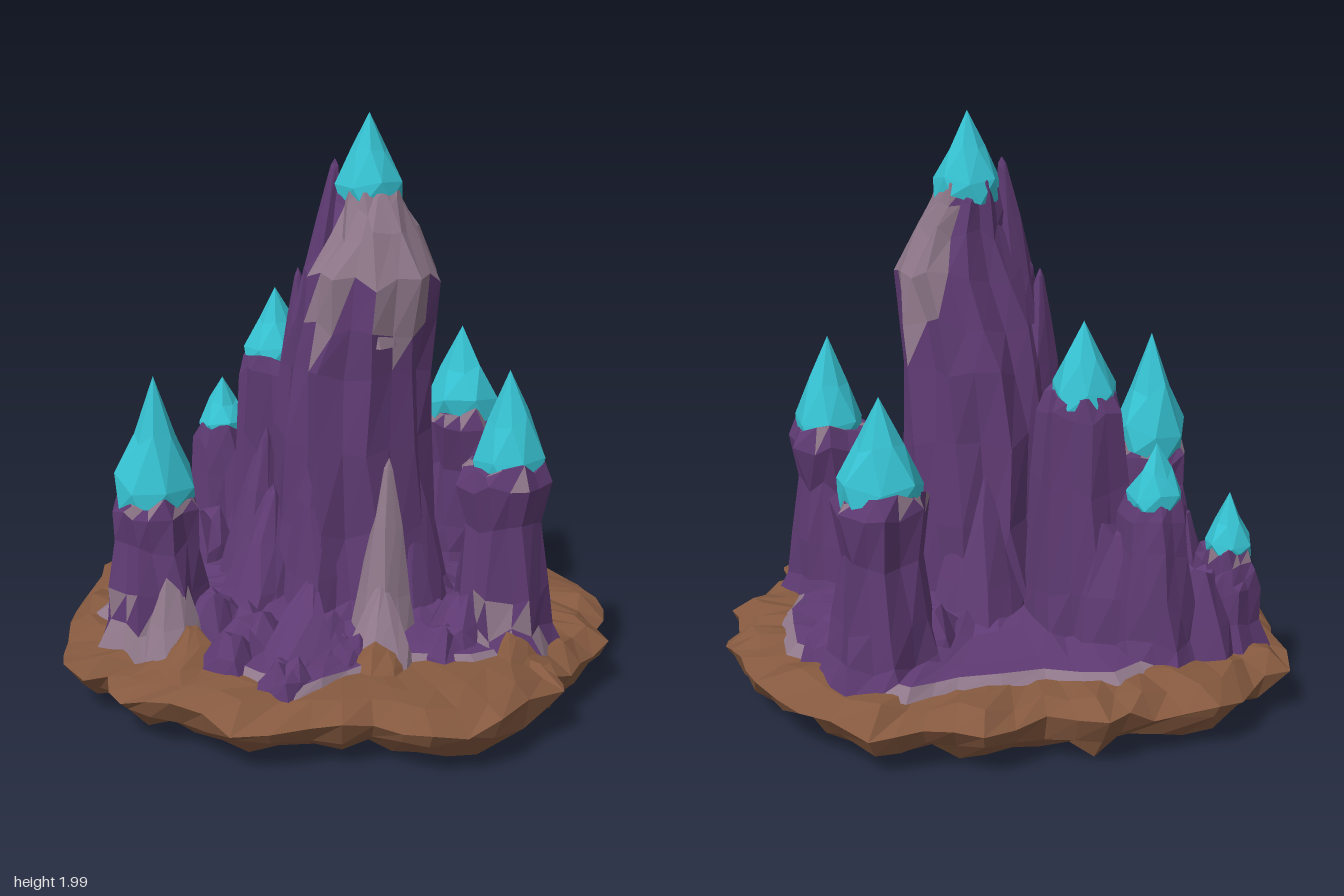
import * as THREE from 'three';

const mat = (name, color) => {
  const m = new THREE.MeshStandardMaterial({ color });
  m.name = name;
  return m;
};

export function createModel() {
  const group = new THREE.Group();
  const purple = mat('purple rock', 0x5e3a72);
  const mauve = mat('mauve rock', 0x8e7789);
  const brown = mat('brown earth', 0x85593f);
  const cyan = mat('cyan crystal', 0x36c2d2);

  // seeded noise
  let seed = 7;
  const rnd = () => ((seed = (seed * 16807) % 2147483647) / 2147483647);
  const jit = (a) => (rnd() * 2 - 1) * a;

  // Faceted skin through rings of equal count (bottom to top); pick() chooses a material per face
  function loft(name, rings, materials, pick = () => 0) {
    const buckets = materials.map(() => []);
    const ab = new THREE.Vector3(), ac = new THREE.Vector3(), mid = new THREE.Vector3();
    const tri = (a, b, c, ring) => {
      ab.subVectors(b, a).cross(ac.subVectors(c, a));
      if (ab.length() < 1e-7) return;
      mid.copy(a).add(b).add(c).divideScalar(3);
      const bucket = buckets[pick(mid, ring)];
      for (const p of [a, b, c]) bucket.push(p.x, p.y, p.z);
    };
    for (let i = 0; i + 1 < rings.length; i++) {
      const lo = rings[i], hi = rings[i + 1], n = lo.length;
      for (let j = 0; j < n; j++) {
        const k = (j + 1) % n;
        tri(lo[j], hi[j], lo[k], i);
        tri(hi[j], hi[k], lo[k], i);
      }
    }
    const geo = new THREE.BufferGeometry();
    let start = 0;
    buckets.forEach((b, i) => {
      geo.addGroup(start, b.length / 3, i);
      start += b.length / 3;
    });
    geo.setAttribute('position', new THREE.Float32BufferAttribute(buckets.flat(), 3));
    geo.computeVertexNormals();
    const mesh = new THREE.Mesh(geo, materials);
    mesh.name = name;
    group.add(mesh);
  }

  // Scaled copy of an outline at a height, roughened
  const outlineRing = (pts, s, y, jy = 0, jr = 0) => pts.map(([x, z]) => {
    const k = s + jit(jr);
    return new THREE.Vector3(x * k, Math.max(0, y + jit(jy)), z * k);
  });

  // Outline with a roughened midpoint on every edge
  const refine = (pts, amount) => pts.flatMap(([x, z], i) => {
    const [u, v] = pts[(i + 1) % pts.length], k = 0.5 * (1 + jit(amount));
    return [[x, z], [(x + u) * k, (z + v) * k]];
  });

  // Fluted rock: levels are [y, x, z, radiusX, radiusZ]
  function rock(name, levels, { sides = 16, flute = 0.16, rough = 0.05, ragged = 0.03, pick } = {}) {
    const ridge = Array.from({ length: sides }, (_, j) => 1 + (j % 2 ? -1 : 1) * flute * (0.3 + 0.7 * rnd()));
    const rings = levels.map(([y, x, z, rx, rz = rx], i) => ridge.map((r, j) => {
      const a = ((j + jit(0.2) + i * 0.15) / sides) * Math.PI * 2, k = r * (1 + jit(rough));
      const dy = i === 0 ? 0 : jit(ragged);
      return new THREE.Vector3(x + Math.cos(a) * rx * k, y + dy, z + Math.sin(a) * rz * k);
    }));
    const [y, x, z] = levels[levels.length - 1];
    rings.push(ridge.map(() => new THREE.Vector3(x, y, z)));
    loft(name, rings, [purple, mauve, brown], pick);
  }

  // Pointed crystal with a broad collar
  function crystal(x, z, base, tip, r) {
    const sides = 7, h = tip - base;
    const rings = [[0, 0.95], [0.22, 0.97], [0.56, 0.54], [1, 0]].map(([t, k], i) =>
      Array.from({ length: sides }, (_, j) => {
        const a = ((j + i * 0.35) / sides) * Math.PI * 2, q = r * k * (1 + jit(0.08));
        const dy = i < 3 ? jit(0.07) * h : 0;
        return new THREE.Vector3(x + Math.cos(a) * q, base + t * h + dy, z + Math.sin(a) * q);
      }));
    rings.unshift(rings[0].map(() => new THREE.Vector3(x, base, z)));
    loft('crystal', rings, [cyan]);
  }

  // Earth slab with a jagged rim and lumpy underside
  const rim = refine([[-0.9, -0.63], [-0.75, -0.7], [-0.58, -0.86], [-0.36, -0.87], [-0.2, -0.93], [-0.02, -0.83],
    [0.2, -0.93], [0.38, -0.85], [0.55, -0.85], [0.75, -0.63], [0.88, -0.4], [0.92, -0.24], [0.97, -0.1], [0.92, 0.05],
    [0.94, 0.2], [0.82, 0.35], [0.72, 0.5], [0.73, 0.6], [0.5, 0.85], [0.28, 0.92], [0.1, 0.82], [-0.1, 0.85],
    [-0.35, 0.88], [-0.55, 0.72], [-0.72, 0.65], [-0.78, 0.5], [-0.94, 0.42], [-0.96, 0.2], [-0.98, -0.1],
    [-0.92, -0.38]], 0.025);
  loft('earthBase', [
    outlineRing(rim, 0, 0.05), outlineRing(rim, 0.2, 0.05, 0.02, 0.02), outlineRing(rim, 0.4, 0.05, 0.035, 0.04),
    outlineRing(rim, 0.58, 0.05, 0.04, 0.04), outlineRing(rim, 0.74, 0.045, 0.035, 0.03),
    outlineRing(rim, 0.87, 0.05, 0.03, 0.025), outlineRing(rim, 0.96, 0.11, 0.03, 0.02),
    outlineRing(rim, 1, 0.175, 0.025), outlineRing(rim, 0.91, 0.22, 0.022, 0.025),
    outlineRing(rim, 0.78, 0.235, 0.01, 0.03), outlineRing(rim, 0, 0.235),
  ], [brown]);

  // Purple ground with a mauve fringe
  const patch = refine([[-0.88, 0.05], [-0.82, -0.2], [-0.82, -0.5], [-0.66, -0.58], [-0.5, -0.63], [-0.28, -0.75],
    [-0.05, -0.68], [0.25, -0.7], [0.42, -0.76], [0.57, -0.62], [0.65, -0.42], [0.77, -0.32], [0.77, 0], [0.7, 0.2],
    [0.67, 0.38], [0.45, 0.53], [0.2, 0.5], [0.02, 0.64], [-0.15, 0.78], [-0.28, 0.66], [-0.38, 0.58], [-0.62, 0.48],
    [-0.76, 0.3]], 0.02);
  loft('rockGround', [
    outlineRing(patch, 1, 0.225), outlineRing(patch, 0.95, 0.26, 0.006), outlineRing(patch, 0.84, 0.272, 0.012, 0.02),
    outlineRing(patch, 0.6, 0.295, 0.02, 0.04), outlineRing(patch, 0.45, 0.34, 0.02, 0.03), outlineRing(patch, 0, 0.4),
  ], [mauve, purple], (p, ring) => (ring === 0 ? 0 : 1));

  // Central tower with a pale shoulder
  rock('mainTower', [
    [0.2, 0.03, 0.02, 0.4, 0.36], [0.34, 0.04, 0.01, 0.32, 0.29], [0.6, 0.05, 0, 0.28, 0.27], [0.9, 0.05, 0, 0.265, 0.255],
    [1.15, 0.06, 0.01, 0.25, 0.245], [1.3, 0.085, 0.03, 0.235, 0.23], [1.46, 0.11, 0.045, 0.23, 0.21],
    [1.6, 0.115, 0.03, 0.15, 0.155], [1.7, 0.1, 0, 0.115, 0.12], [1.75, 0.095, -0.01, 0.1, 0.1],
  ], { sides: 20, flute: 0.1, rough: 0.05, ragged: 0.03,
    pick: (p) => +(p.x + p.z > 0.05 && p.y > 1.34 + 0.12 * Math.sin(Math.atan2(p.z, p.x) * 6)) });

  // Side columns: x, z, foot radius, waist radius, top radius, top y, pale rim chance, pale foot
  const columns = [
    [-0.24, -0.32, 0.2, 0.15, 0.125, 1.1, 0, false],
    [-0.45, -0.49, 0.17, 0.12, 0.1, 0.78, 0, false],
    [-0.72, -0.43, 0.13, 0.1, 0.085, 0.57, 0.2, false],
    [0.46, -0.49, 0.19, 0.13, 0.145, 0.85, 0.25, false],
    [0.55, 0.27, 0.18, 0.125, 0.145, 0.86, 0.25, true],
    [-0.63, 0.24, 0.19, 0.135, 0.13, 0.74, 0.5, true],
  ];
  for (const [x, z, foot, waist, top, y, pale, paleFoot] of columns) {
    rock('sideColumn', [
      [0.2, x, z, foot * 1.15], [0.3, x, z, foot * 0.92], [0.42, x, z, (foot + waist) / 2],
      [0.25 + (y - 0.2) * 0.6, x, z, waist], [y - 0.06, x, z, top * 1.08], [y, x, z, top * 0.9],
    ], { sides: 14, flute: 0.11, ragged: 0.025,
      pick: (p, ring) => +((ring >= 4 && rnd() < pale) || (paleFoot && p.y < 0.42 && p.z > z + 0.08 && rnd() < 0.7)) });
  }

  // Crystals: x, z, base y, tip y, radius
  [[0.095, -0.01, 1.71, 2.0, 0.115], [-0.24, -0.33, 1.06, 1.34, 0.115], [-0.45, -0.5, 0.74, 0.96, 0.095],
    [-0.73, -0.43, 0.54, 0.75, 0.085], [0.46, -0.49, 0.8, 1.16, 0.14], [0.56, 0.27, 0.8, 1.18, 0.125],
    [-0.63, 0.23, 0.7, 1.15, 0.135]].forEach((c) => crystal(...c));

  // Leaning spurs: foot x, z, radius, foot y, then tip x, y, z, material (0 purple, 1 mauve, 2 brown)
  [[0.14, 0.33, 0.11, 0.22, 0.16, 0.86, 0.25, 1], [0.12, 0.5, 0.13, 0.2, 0.14, 0.46, 0.36, 1],
    [0.1, 0.55, 0.13, 0.2, 0.13, 0.34, 0.45, 2], [0.58, 0.42, 0.12, 0.2, 0.56, 0.34, 0.4, 2],
    [-0.5, 0.5, 0.14, 0.2, -0.5, 0.33, 0.42, 2], [-0.17, 0.62, 0.13, 0.22, -0.1, 0.45, 0.26, 0],
    [-0.08, 0.2, 0.15, 0.22, -0.08, 0.95, 0.17, 0], [0.25, 0.15, 0.13, 0.22, 0.22, 0.9, 0.1, 0],
    [-0.08, -0.02, 0.09, 1.28, -0.02, 1.84, -0.02, 0], [-0.13, -0.06, 0.09, 1.0, -0.15, 1.46, -0.05, 0],
    [0.12, 0.18, 0.09, 1.25, 0.08, 1.67, 0.11, 1], [-0.58, 0.4, 0.11, 0.22, -0.57, 0.6, 0.3, 1],
    [-0.3, 0.18, 0.16, 0.22, -0.24, 0.7, 0.04, 0], [0.1, -0.25, 0.18, 0.22, 0.06, 0.9, -0.18, 0],
    [-0.33, -0.1, 0.14, 0.22, -0.27, 0.85, -0.18, 0],
  ].forEach(([x, z, r, y, tx, ty, tz, material]) => {
    const at = (t, k) => [y + (ty - y) * t, x + (tx - x) * t, z + (tz - z) * t, r * k];
    rock('spur', [at(0, 1), at(0.3, 0.75), at(0.65, 0.45), at(0.95, 0.14), at(1, 0.02)],
      { sides: 8, ragged: 0.01, pick: () => material });
  });

  // Low rubble between the columns: x, z, radius, top y
  [[-0.36, 0.5, 0.1, 0.34], [-0.3, 0.38, 0.12, 0.36], [-0.43, 0.3, 0.1, 0.4], [0.02, 0.5, 0.08, 0.32],
    [0.35, 0.42, 0.1, 0.33], [0.4, 0.32, 0.1, 0.4], [-0.6, -0.48, 0.13, 0.5], [-0.34, -0.44, 0.13, 0.66],
    [-0.52, -0.34, 0.11, 0.48], [0.3, -0.4, 0.11, 0.4], [0.6, -0.36, 0.09, 0.38],
    [-0.74, 0.14, 0.07, 0.48], [-0.18, 0.68, 0.08, 0.31],
  ].forEach(([x, z, r, y]) => rock('rubble',
    [[0.2, x, z, r * 1.25], [(0.2 + y) / 2, x, z, r], [y, x, z, r * 0.5]], { sides: 9 }));

  return group;
}
